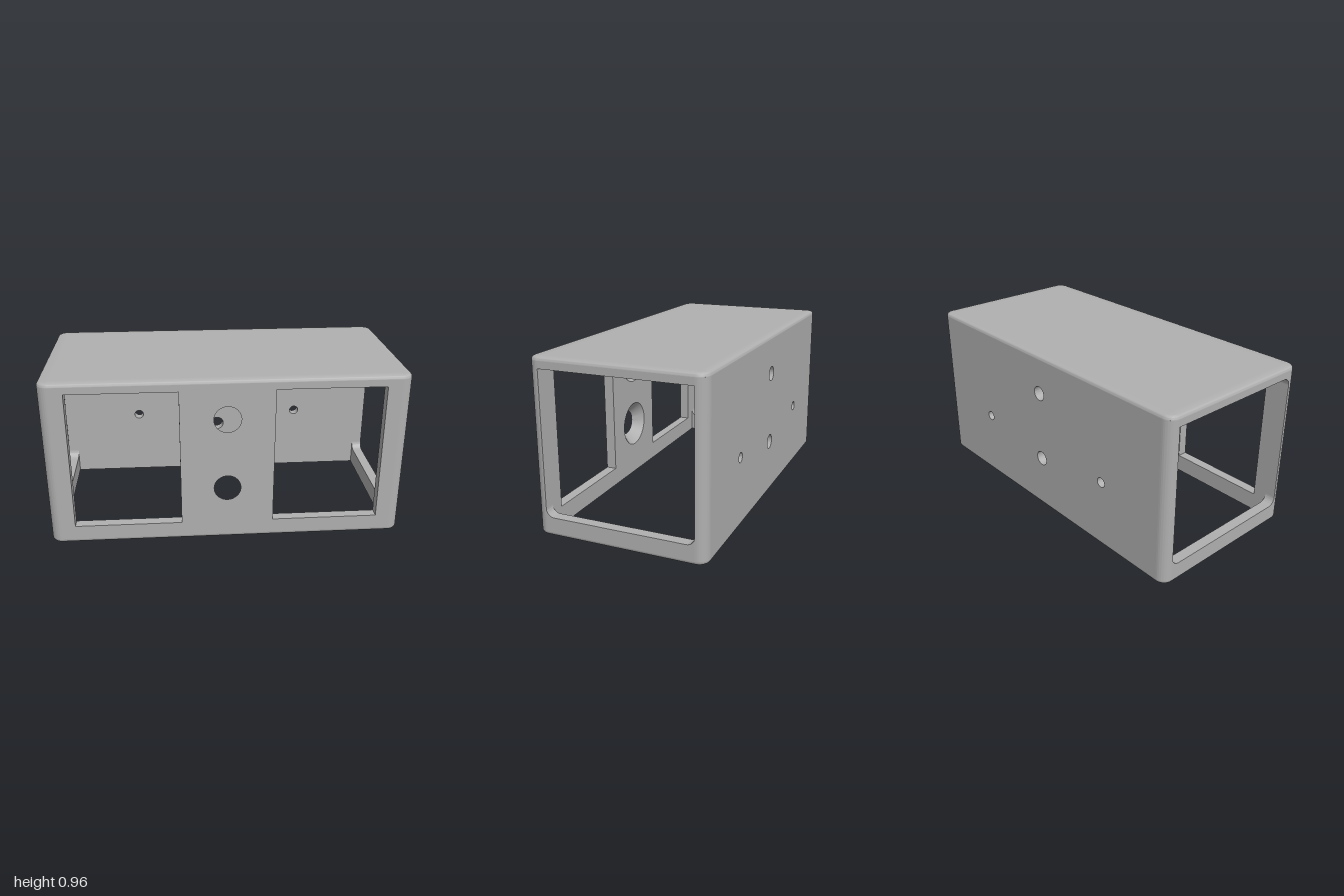
import * as THREE from 'three';
import { toCreasedNormals } from 'three/addons/utils/BufferGeometryUtils.js';

const W = 1, H = 0.96, D = 0.48;      // half width, height, half depth
const T = 0.06;                       // wall thickness and corner radius
const F = 0.02;                       // edge fillet
const LIP = 0.105, CEIL = 0.9;        // opening bottom and top
const X = W - T, Z = D - T;           // inner half sizes

export function createModel() {
  const group = new THREE.Group();
  const grey = new THREE.MeshStandardMaterial({ color: 0xb0b0b0 });
  grey.name = 'grey';

  const add = (name, geometry, x = 0, y = 0, z = 0) => {
    const mesh = new THREE.Mesh(toCreasedNormals(geometry, 0.6), grey);
    mesh.name = name;
    mesh.position.set(x, y, z);
    group.add(mesh);
    return mesh;
  };
  const rect = (Type, x0, y0, x1, y1) => {
    const s = new Type();
    s.moveTo(x0, y0).lineTo(x1, y0).lineTo(x1, y1).lineTo(x0, y1).closePath();
    return s;
  };
  const hole = (x, y, r) => new THREE.Path().absarc(x, y, r, 0, Math.PI * 2, true);
  const extrude = (shape, depth) =>
    new THREE.ExtrudeGeometry(shape, { depth, bevelEnabled: false, curveSegments: 24 });

  // Rounded-rectangle band swept through [inset, y] rows
  function band(rows) {
    const N = 10, positions = [], index = [];
    const corners = [[1, 1], [-1, 1], [-1, -1], [1, -1]];
    for (const [inset, y] of rows) {
      corners.forEach(([sx, sz], c) => {
        for (let i = 0; i <= N; i++) {
          const a = (c + i / N) * Math.PI / 2, r = T - inset;
          positions.push(sx * X + r * Math.cos(a), y, sz * Z + r * Math.sin(a));
        }
      });
    }
    const n = 4 * (N + 1);
    for (let j = 0; j < rows.length - 1; j++) {
      for (let i = 0; i < n; i++) {
        const a = j * n + i, b = j * n + (i + 1) % n;
        index.push(a, a + n, b, b, a + n, b + n);
      }
    }
    const g = new THREE.BufferGeometry();
    g.setAttribute('position', new THREE.Float32BufferAttribute(positions, 3));
    g.setIndex(index);
    g.computeVertexNormals();
    return g;
  }

  // Filleted top and bottom rims
  const arc = [0, 1, 2, 3, 4, 5, 6].map(i => {
    const a = i / 6 * Math.PI / 2;
    return [F * (1 - Math.cos(a)), F * Math.sin(a)];
  });
  add('topRim', band([...arc.map(([d, h]) => [d, H - F + h]), [T, H]]));
  add('bottomRim', band([[T, F], [T, 0], ...arc.map(([d, h]) => [d, F - h]).reverse()]));

  // Roof slab
  add('roof', new THREE.BoxGeometry(2 * X, H - CEIL, 2 * Z), 0, (H + CEIL) / 2, 0);

  // Front wall with two windows and two tapered access holes
  const screwHeights = [0.32, 0.735];
  const front = rect(THREE.Shape, -X, F, X, H - F);
  front.holes.push(rect(THREE.Path, -0.86, LIP, -0.26, CEIL), rect(THREE.Path, 0.26, LIP, 0.86, CEIL));
  for (const y of screwHeights) front.holes.push(hole(0, y, 0.135));
  add('frontWall', extrude(front, T), 0, 0, Z);
  for (const y of screwHeights) {
    const taper = new THREE.LatheGeometry(
      [new THREE.Vector2(0.135, T), new THREE.Vector2(0.075, T), new THREE.Vector2(0.135, 0)], 48);
    taper.rotateX(Math.PI / 2);
    add('accessHole', taper, 0, y, Z);
  }

  // Back wall with screw holes and cable holes
  const back = rect(THREE.Shape, -X, F, X, H - F);
  for (const y of screwHeights) back.holes.push(hole(0, y, 0.042));
  for (const x of [-0.52, 0.52]) back.holes.push(hole(x, 0.4, 0.028));
  add('backWall', extrude(back, T), 0, 0, -D);

  // Rounded corner posts
  const quarter = new THREE.Shape();
  quarter.moveTo(0, 0).lineTo(T, 0).absarc(0, 0, T, 0, Math.PI / 2, false).lineTo(0, 0);
  [[1, -1], [-1, -1], [-1, 1], [1, 1]].forEach(([sx, sz], k) => {
    const post = extrude(quarter, H - 2 * F);
    post.rotateX(-Math.PI / 2).rotateY(k * Math.PI / 2);
    add('cornerPost', post, sx * X, F, sz * Z);
  });

  // End lips with filleted opening corners, and headers
  const r = 0.045;
  const lip = new THREE.Shape();
  lip.moveTo(-Z, F).lineTo(Z, F).lineTo(Z, LIP + r)
    .absarc(Z - r, LIP + r, r, 0, -Math.PI / 2, true)
    .lineTo(-Z + r, LIP)
    .absarc(-Z + r, LIP + r, r, -Math.PI / 2, -Math.PI, true)
    .lineTo(-Z, F);
  for (const [side, x] of [['left', X], ['right', -W]]) {
    add(side + 'EndLip', extrude(lip, T).rotateY(Math.PI / 2), x);
    add(side + 'EndHeader', new THREE.BoxGeometry(T, H - F - CEIL, 2 * Z), x + T / 2, (H - F + CEIL) / 2);
  }

  // Single fillet in the upper front corner of the right end
  const gusset = new THREE.Shape();
  gusset.moveTo(-Z, CEIL).lineTo(-Z, CEIL - r)
    .absarc(-Z + r, CEIL - r, r, Math.PI, Math.PI / 2, true).lineTo(-Z, CEIL);
  add('cornerFillet', extrude(gusset, T).rotateY(Math.PI / 2), -W);

  return group;
}
